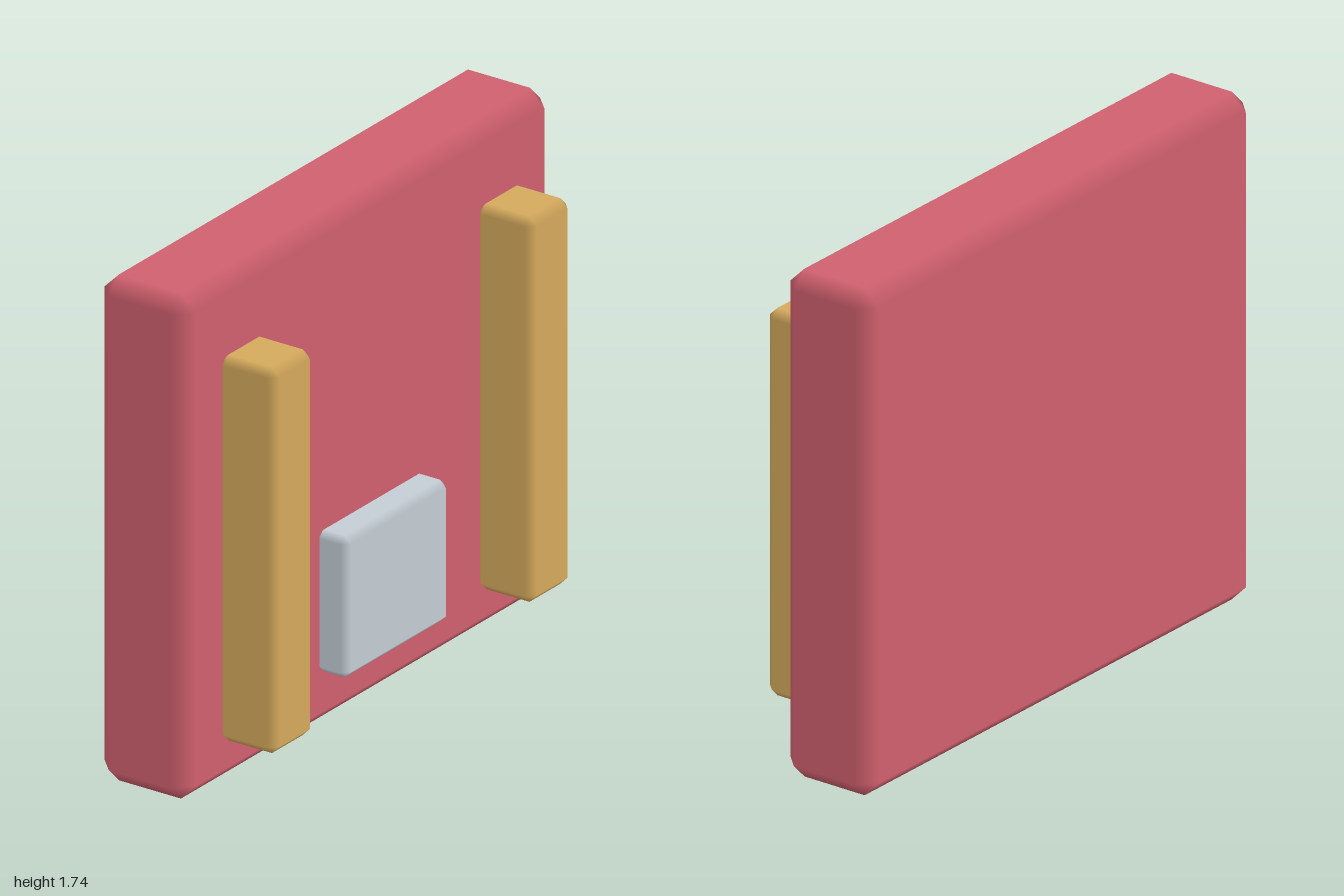
import * as THREE from 'three';

// Box with a single bevel on every edge; normals stay those of the flat faces,
// so the shading blends smoothly across the bevels.
function bevelBox(min, max, bevel) {
  const centre = min.map((v, i) => (v + max[i]) / 2);
  const half = min.map((v, i) => (max[i] - v) / 2);
  const positions = [], normals = [], indices = [];

  // Three vertices per corner, one on each adjoining face
  const sign = (corner, axis) => (corner >> axis & 1 ? 1 : -1);
  const vertex = (corner, axis) => corner * 3 + axis;
  for (let corner = 0; corner < 8; corner++) {
    for (let axis = 0; axis < 3; axis++) {
      for (let i = 0; i < 3; i++) {
        const s = sign(corner, i);
        positions.push(centre[i] + s * (half[i] - (i === axis ? 0 : bevel)));
        normals.push(i === axis ? s : 0);
      }
    }
  }

  // Adds a triangle, turned so that it faces away from the centre
  const point = (i) => new THREE.Vector3().fromArray(positions, i * 3);
  const middle = new THREE.Vector3(...centre);
  const triangle = (a, b, c) => {
    const pa = point(a);
    const n = point(b).sub(pa).cross(point(c).sub(pa));
    if (n.dot(pa.sub(middle)) > 0) indices.push(a, b, c);
    else indices.push(a, c, b);
  };
  const quad = (a, b, c, d) => { triangle(a, b, c); triangle(a, c, d); };

  for (let a = 0; a < 3; a++) {
    const b = (a + 1) % 3, c = (a + 2) % 3;
    const A = 1 << a, B = 1 << b, C = 1 << c;
    // Flat faces
    for (const k of [0, A]) {
      quad(vertex(k, a), vertex(k | B, a), vertex(k | B | C, a), vertex(k | C, a));
    }
    // Bevels running along this axis
    for (const k of [0, B, C, B | C]) {
      quad(vertex(k, b), vertex(k | A, b), vertex(k | A, c), vertex(k, c));
    }
  }
  // Corner triangles
  for (let k = 0; k < 8; k++) triangle(vertex(k, 0), vertex(k, 1), vertex(k, 2));

  const geometry = new THREE.BufferGeometry();
  geometry.setAttribute('position', new THREE.Float32BufferAttribute(positions, 3));
  geometry.setAttribute('normal', new THREE.Float32BufferAttribute(normals, 3));
  geometry.setIndex(indices);
  return geometry;
}

function material(name, color) {
  const m = new THREE.MeshStandardMaterial({ color });
  m.name = name;
  return m;
}

export function createModel() {
  const group = new THREE.Group();
  group.name = 'strappedPanel';
  const red = material('rose red', 0xd0606e);
  const gold = material('golden tan', 0xd4a95c);
  const grey = material('light grey', 0xc4cdd5);

  const add = (name, mat, min, max, bevel) => {
    const mesh = new THREE.Mesh(bevelBox(min, max, bevel), mat);
    mesh.name = name;
    group.add(mesh);
  };

  // Main slab
  add('panel', red, [-1, 0, -0.277], [1, 1.742, 0.072], 0.056);

  // Upright bars on the front, one on each side
  for (const [name, x] of [['rightBar', -0.697], ['leftBar', 0.697]]) {
    add(name, gold, [x - 0.111, 0.157, 0.055], [x + 0.111, 1.485, 0.277], 0.028);
  }

  // Small plate low in the middle
  add('plate', grey, [-0.281, 0.198, 0.055], [0.281, 0.687, 0.181], 0.024);

  return group;
}
